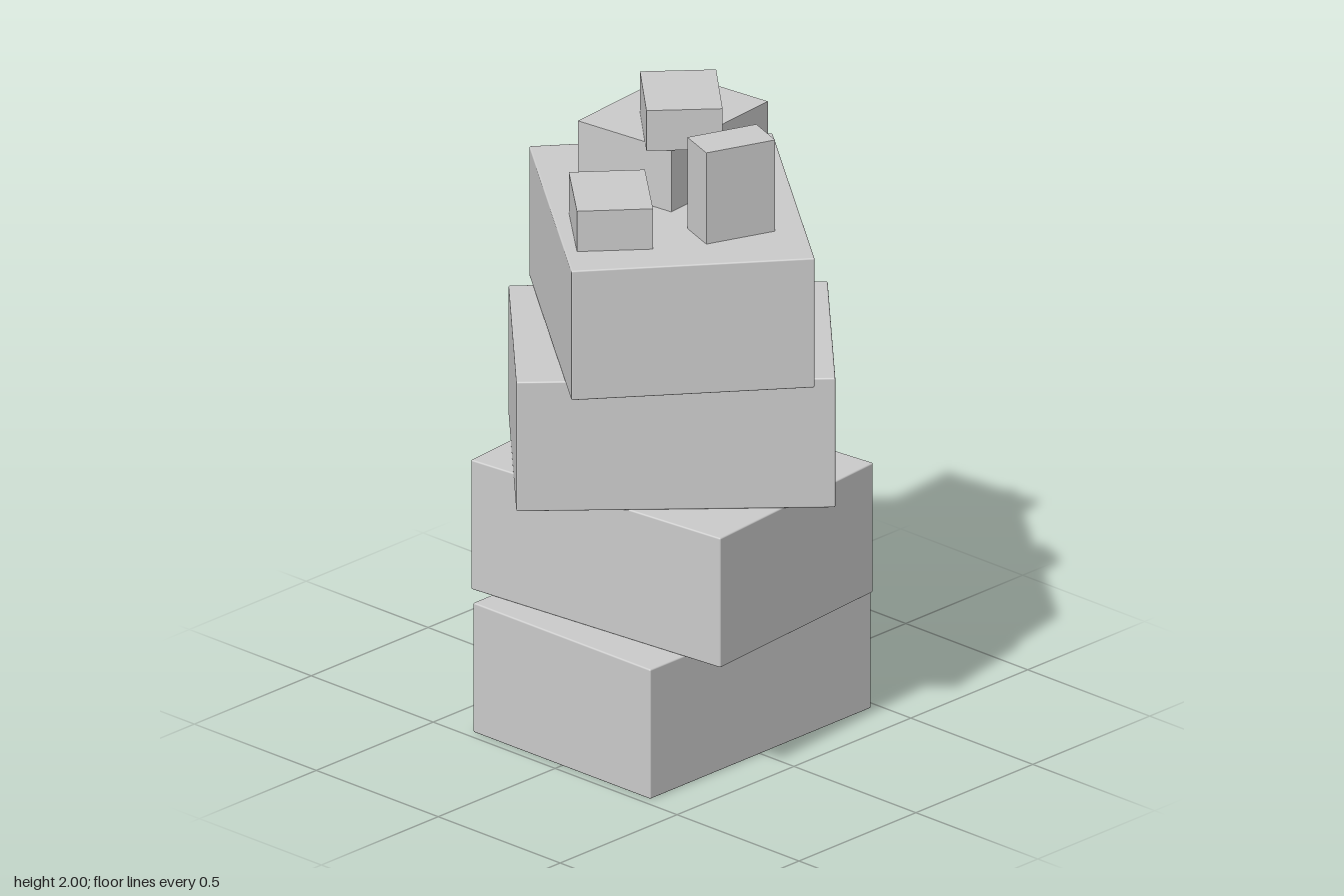
import * as THREE from 'three';
import { RoundedBoxGeometry } from 'three/addons/geometries/RoundedBoxGeometry.js';

const material = new THREE.MeshStandardMaterial({ color: 0xcccccc });

// Adds a box whose underside is at y = bottom, turned about the vertical by degrees
function addBox(group, name, geometry, height, x, bottom, z, degrees) {
  const mesh = new THREE.Mesh(geometry, material);
  mesh.name = name;
  mesh.position.set(x, bottom + height / 2, z);
  mesh.rotation.y = THREE.MathUtils.degToRad(degrees);
  group.add(mesh);
}

export function createModel() {
  const group = new THREE.Group();
  group.name = 'boxStack';

  // Four identical large boxes with slightly softened edges, each turned differently
  const height = 0.4175;
  const large = new RoundedBoxGeometry(0.945, height, 0.727, 2, 0.005);
  [90, 5.2, 45.6, -38.6].forEach((turn, i) =>
    addBox(group, `largeBox${i + 1}`, large, height, 0, i * height, 0, turn));

  const top = 4 * height;

  // Medium box lying on the stack
  addBox(group, 'mediumBox', new THREE.BoxGeometry(0.352, 0.2, 0.462), 0.2, -0.148, top, -0.158, 5.6);

  // Small boxes: one on the medium box, one lying in front, one standing on end
  const small = new THREE.BoxGeometry(0.294, 0.13, 0.226);
  addBox(group, 'smallBoxUpper', small, 0.13, -0.03, top + 0.2, -0.071, -42.5);
  addBox(group, 'smallBoxFront', small, 0.13, 0.018, top, 0.28, -41.5);
  addBox(group, 'smallBoxUpright', new THREE.BoxGeometry(0.13, 0.294, 0.226), 0.294, 0.27, top, 0.028, -20.7);

  return group;
}
